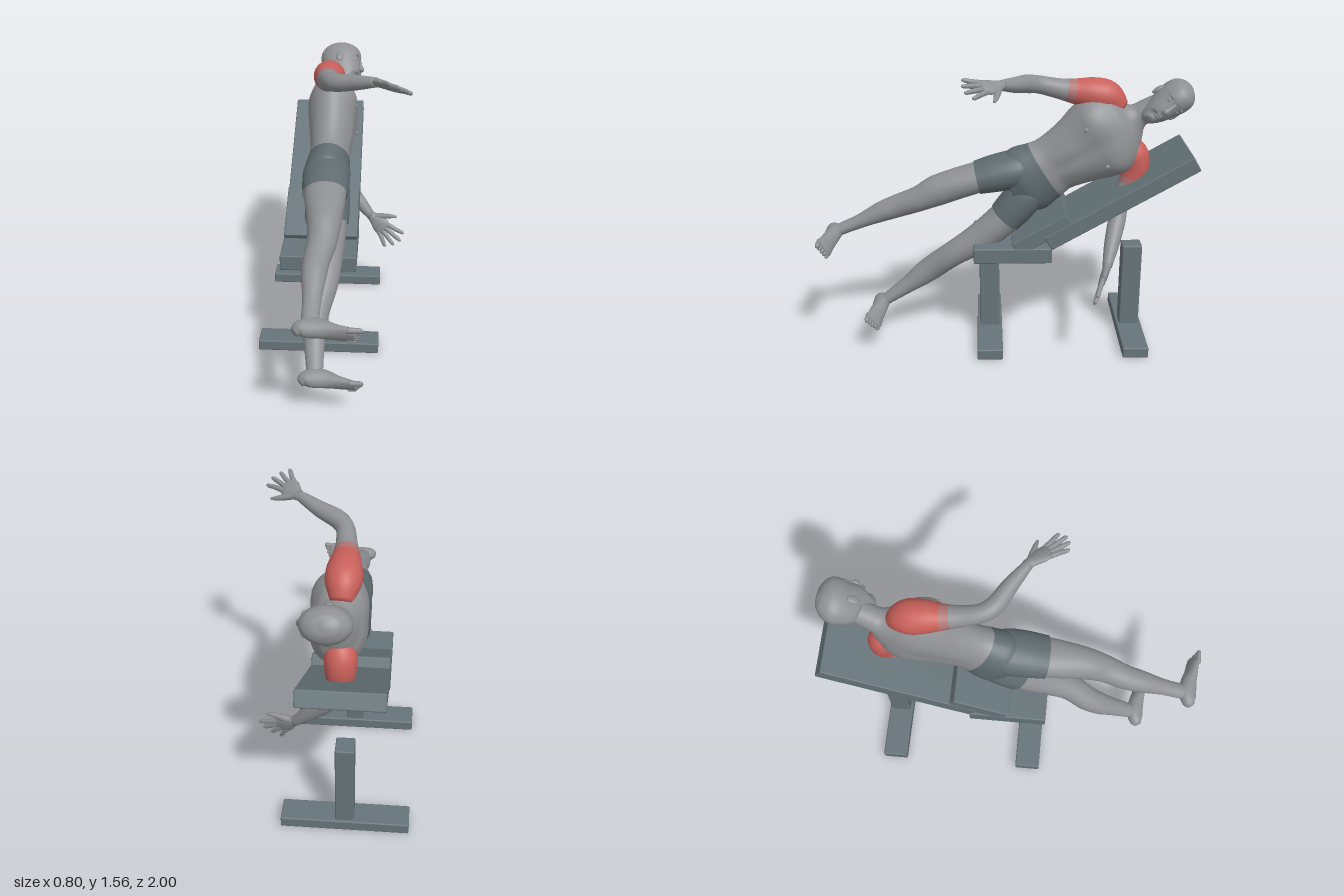
import * as THREE from 'three';
import { RoundedBoxGeometry } from 'three/addons/geometries/RoundedBoxGeometry.js';

const mat = (name, color, side = THREE.FrontSide) => Object.assign(new THREE.MeshStandardMaterial({ color, side }), { name });
const V = (x, y, z) => new THREE.Vector3(x, y, z);

// Loft through sections [x, y, z, halfWidth, halfDepth]; depth runs along ref.
// bands: [[endT, materialIndex], ...] colours the length of the loft.
function loft(sections, ref, { rings = 48, sides = 28, bands, swell = () => 1, caps = true } = {}) {
  const path = new THREE.CatmullRomCurve3(sections.map(s => V(s[0], s[1], s[2])));
  const size = new THREE.CatmullRomCurve3(sections.map(s => V(s[3], s[4] ?? s[3], 0)), false, 'catmullrom', 0.5);
  const pos = [], idx = [], geo = new THREE.BufferGeometry();
  for (let i = 0; i <= rings; i++) {
    const t = i / rings, c = path.getPoint(t), r = size.getPoint(t), T = path.getTangent(t);
    const u = ref.clone().addScaledVector(T, -ref.dot(T)).normalize();
    const v = T.clone().cross(u);
    for (let j = 0; j < sides; j++) {
      const a = j / sides * Math.PI * 2, k = swell(t, a > Math.PI ? a - Math.PI * 2 : a);
      const p = c.clone().addScaledVector(u, r.y * k * Math.cos(a)).addScaledVector(v, r.x * k * Math.sin(a));
      pos.push(p.x, p.y, p.z);
    }
  }
  const first = pos.length / 3;
  pos.push(...path.getPoint(0).toArray(), ...path.getPoint(1).toArray());
  if (caps) for (let j = 0; j < sides; j++) idx.push(first, (j + 1) % sides, j);
  let start = 0, b = 0;
  for (let i = 0; i < rings; i++) {
    if (bands && i / rings >= bands[b][0]) {
      geo.addGroup(start, idx.length - start, bands[b++][1]);
      start = idx.length;
    }
    for (let j = 0; j < sides; j++) {
      const k = (j + 1) % sides, p = i * sides, q = p + sides;
      idx.push(p + j, p + k, q + j, p + k, q + k, q + j);
    }
  }
  if (caps) for (let j = 0; j < sides; j++) idx.push(first + 1, rings * sides + j, rings * sides + (j + 1) % sides);
  if (bands) geo.addGroup(start, idx.length - start, bands[b][1]);
  geo.setAttribute('position', new THREE.Float32BufferAttribute(pos, 3));
  geo.setIndex(idx);
  geo.computeVertexNormals();
  return geo;
}

export function createModel() {
  const root = new THREE.Group();
  const skin = mat('skin grey', 0x8e9093), red = mat('muscle red', 0xc9605a), blush = mat('faded red', 0xad7674);
  const cloth = mat('shorts grey', 0x5f6b6f, THREE.DoubleSide), steel = mat('bench grey', 0x667479);
  const add = (name, geo, material, parent = root) => {
    const m = new THREE.Mesh(geo, material);
    m.name = name;
    parent.add(m);
    return m;
  };
  const X = V(1, 0, 0), Y = V(0, 1, 0), Z = V(0, 0, 1);

  // Bench
  const bench = new THREE.Group();
  bench.name = 'bench';
  root.add(bench);
  const box = (name, w, h, d, x, y, z, tilt = 0) => {
    const m = add(name, new RoundedBoxGeometry(w, h, d, 2, 0.007), steel, bench);
    m.position.set(x, y, z);
    m.rotation.x = tilt;
  };
  for (const [z, top] of [[0.087, 0.53], [-0.697, 0.535]]) {
    box('benchFoot', 0.66, 0.06, 0.138, -0.07, 0.03, z);
    box('benchPost', 0.095, top - 0.04, 0.108, -0.068, (top + 0.04) / 2, z);
  }
  box('seatBase', 0.405, 0.085, 0.415, -0.0675, 0.553, -0.037);
  box('backrest', 0.405, 0.084, 0.88, -0.0675, 0.842, -0.603, Math.PI / 6);
  box('seatPad', 0.4, 0.08, 0.33, -0.0675, 0.671, -0.193, Math.PI / 6);

  // Torso and neck, with chest, midline and spine modelled by a swell rule
  const g = (v, c, w) => Math.exp(-(((v - c) / w) ** 2));
  const torso = [
    [-.03, .88, -.03, .09, .09], [-.035, .92, -.10, .185, .122], [-.03, .981, -.204, .17, .114],
    [-.03, 1.02, -.263, .16, .11], [-.028, 1.083, -.37, .185, .125], [-.03, 1.137, -.46, .22, .137],
    [-.03, 1.18, -.53, .232, .14], [-.035, 1.217, -.595, .2, .118], [-.038, 1.244, -.643, .13, .085],
    [-.035, 1.272, -.685, .07, .066], [-.028, 1.303, -.73, .06, .062], [-.02, 1.335, -.78, .055, .06]];
  add('torso', loft(torso, X, {
    rings: 90, sides: 56, bands: [[2 / 11, 1], [1, 0]],
    swell: (t, a) => {
      const m = Math.abs(a);
      return 1 + .1 * g(t, .5, .08) * g(m, .6, .38) - .05 * g(m, 0, .16) * g(t, .42, .16)
        - .07 * g(m, Math.PI, .25) * g(t, .45, .2) + .06 * g(m, 2.5, .4) * g(t, .1, .08)
        + .04 * g(m, .3, .2) * g(t, .32, .06);
    },
  }), [skin, cloth]);
  const L = V(0, -.86, -.51);
  for (const s of [-1, 1]) {
    const n = add('nipple', new THREE.SphereGeometry(.012, 12, 8), skin);
    n.position.set(.107, 1.14, -.465).addScaledVector(L, s * .115);
    n.scale.x = .6;
  }

  // Head
  const head = new THREE.Group();
  head.name = 'head';
  head.position.set(0, 1.362, -.842);
  const up = V(0, .548, -.836).normalize();
  head.setRotationFromMatrix(new THREE.Matrix4().makeBasis(X, up, X.clone().cross(up)));
  root.add(head);
  add('skull', loft([[.07, -.145, 0, .022, .028], [.045, -.12, 0, .047, .066], [.026, -.07, 0, .066, .092],
    [.006, -.005, 0, .082, .112], [0, .05, 0, .086, .117], [-.004, .09, 0, .075, .1],
    [-.006, .12, 0, .046, .06], [-.006, .132, 0, .012, .016]], X, { sides: 36 }), skin, head);
  add('nose', loft([[.115, -.062, 0, .012, .008], [.121, -.05, 0, .019, .017], [.117, -.03, 0, .012, .014],
    [.112, .012, 0, .008, .008]], X, { rings: 16, sides: 14 }), skin, head);
  const blob = (name, x, y, z, a, b, c) => {
    const m = add(name, new THREE.SphereGeometry(1, 16, 12), skin, head);
    m.position.set(x, y, z);
    m.scale.set(a, b, c);
  };
  for (const s of [-1, 1]) {
    blob('ear', -.005, -.02, s * .085, .022, .034, .011);
    blob('eye', .096, -.002, s * .034, .009, .008, .015);
    blob('brow', .097, .02, s * .034, .012, .008, .026);
  }
  blob('upperLip', .11, -.083, 0, .012, .006, .024);
  blob('lowerLip', .107, -.094, 0, .012, .006, .02);

  // Arms, red around the shoulders
  const armBands = [[.36, 1], [.43, 2], [1, 0]], armMats = [skin, red, blush];
  const upperArm = [[-.04, 1.31, -.6, .05], [-.045, 1.37, -.53, .084], [-.045, 1.39, -.45, .084],
    [-.045, 1.403, -.36, .066], [-.04, 1.42, -.27, .052], [-.025, 1.445, -.17, .046],
    [.01, 1.457, -.115, .047], [.11, 1.478, -.05, .04], [.22, 1.505, .03, .025]];
  const lowerArm = [[-.04, 1.13, -.64, .05], [-.045, 1.07, -.675, .076], [-.045, 1, -.69, .074],
    [-.04, .93, -.675, .065], [-.03, .85, -.64, .054], [-.01, .77, -.61, .047],
    [.03, .71, -.595, .047], [.12, .61, -.56, .04], [.2, .52, -.53, .025]];
  add('raisedArm', loft(upperArm, Y, { bands: armBands }), armMats);
  add('hangingArm', loft(lowerArm, Z, { bands: armBands }), armMats);

  // Hands: d points along the fingers, a towards the thumb
  function hand(name, w, d, a) {
    const group = new THREE.Group();
    group.name = name;
    root.add(group);
    d.normalize();
    a.addScaledVector(d, -a.dot(d)).normalize();
    const n = d.clone().cross(a);
    const at = (f, s, r, r2 = r, k = 0) =>
      [...w.clone().addScaledVector(d, f).addScaledVector(a, s).addScaledVector(n, k).toArray(), r, r2];
    add('palm', loft([at(-.02, 0, .024, .024), at(.02, .003, .034, .021), at(.065, .004, .05, .02),
      at(.105, 0, .048, .016), at(.118, 0, .035, .01)], n, { rings: 20, sides: 20 }), skin, group);
    [.035, .012, -.012, -.034].forEach((s, i) => {
      const len = [.21, .228, .217, .19][i], e = s * 1.9;
      add('finger', loft([at(.095, s, .013), at((len + .1) / 2, (s + e) / 2, .0125), at(len - .012, e, .01),
        at(len, e, .005)], n, { rings: 14, sides: 10 }), skin, group);
    });
    add('thumb', loft([at(.015, .015, .018), at(.05, .052, .017), at(.085, .088, .012), at(.108, .108, .006)],
      n, { rings: 14, sides: 10 }), skin, group);
  }
  hand('raisedHand', V(.22, 1.505, .03), V(.61, .07, .79), V(.7, -.45, -.5));
  hand('hangingHand', V(.2, .52, -.53), V(.7, -.62, .35), V(.65, .71, -.03));

  // Legs
  const upperLeg = [[-.03, .99, -.06, .085, .1], [-.03, .944, .14, .08, .108], [-.022, .876, .354, .083, .086],
    [-.025, .826, .46, .068, .074], [-.045, .78, .57, .062, .066], [-.05, .745, .66, .055, .06],
    [-.05, .69, .78, .038, .045], [-.05, .645, .885, .032, .042], [-.045, .625, .93, .03, .042]];
  const lowerLeg = [[-.03, .88, -.14, .09, .1], [-.03, .724, -.01, .088, .108], [-.025, .595, .14, .082, .09],
    [-.03, .5, .284, .068, .076], [-.06, .408, .397, .067, .07], [-.065, .352, .47, .06, .064],
    [-.06, .3, .54, .046, .053], [-.05, .218, .66, .032, .042], [-.045, .193, .695, .03, .042]];
  add('upperLeg', loft(upperLeg, X), skin);
  add('lowerLeg', loft(lowerLeg, X), skin);

  // Shorts legs
  add('upperShortsLeg', loft([[-.035, .985, -.14, .1, .1], [-.035, .985, -.06, .102, .122],
    [-.032, .967, .04, .098, .124], [-.03, .942, .148, .086, .116]], X, { caps: false }), cloth);
  add('lowerShortsLeg', loft([[-.035, .91, -.17, .09, .1], [-.035, .86, -.125, .1, .12],
    [-.032, .79, -.065, .1, .122], [-.03, .715, -.002, .094, .116]], X, { caps: false }), cloth);

  // Feet: D runs down the shin to the sole
  function foot(name, sole, D) {
    const group = new THREE.Group();
    group.name = name;
    root.add(group);
    const lat = X.clone().cross(D);
    const at = (x, h, w, s = 0) =>
      [...sole.clone().addScaledVector(D, -h / 2).addScaledVector(lat, s).setX(x).toArray(), w, h / 2];
    add('footBody', loft([at(-.118, .04, .018), at(-.1, .075, .036), at(-.05, .1, .041), at(.01, .088, .042),
      at(.07, .06, .048), at(.125, .042, .052), at(.155, .03, .046)], D, { rings: 30, sides: 24 }), skin, group);
    for (let i = 0; i < 5; i++) {
      const s = (i - 2) * .021, r = i === 0 ? .015 : .0105, tip = .19 - i * .008;
      add('toe', loft([at(.12, .03, r, s), at(tip - .025, .026, r, s), at(tip - .008, .024, r, s),
        at(tip, .012, r * .5, s)], D, { rings: 10, sides: 10 }), skin, group);
    }
  }
  foot('upperFoot', V(0, .604, .972), V(0, -.45, .89).normalize());
  foot('lowerFoot', V(0, .166, .732), V(0, -.6, .8));
  return root;
}
